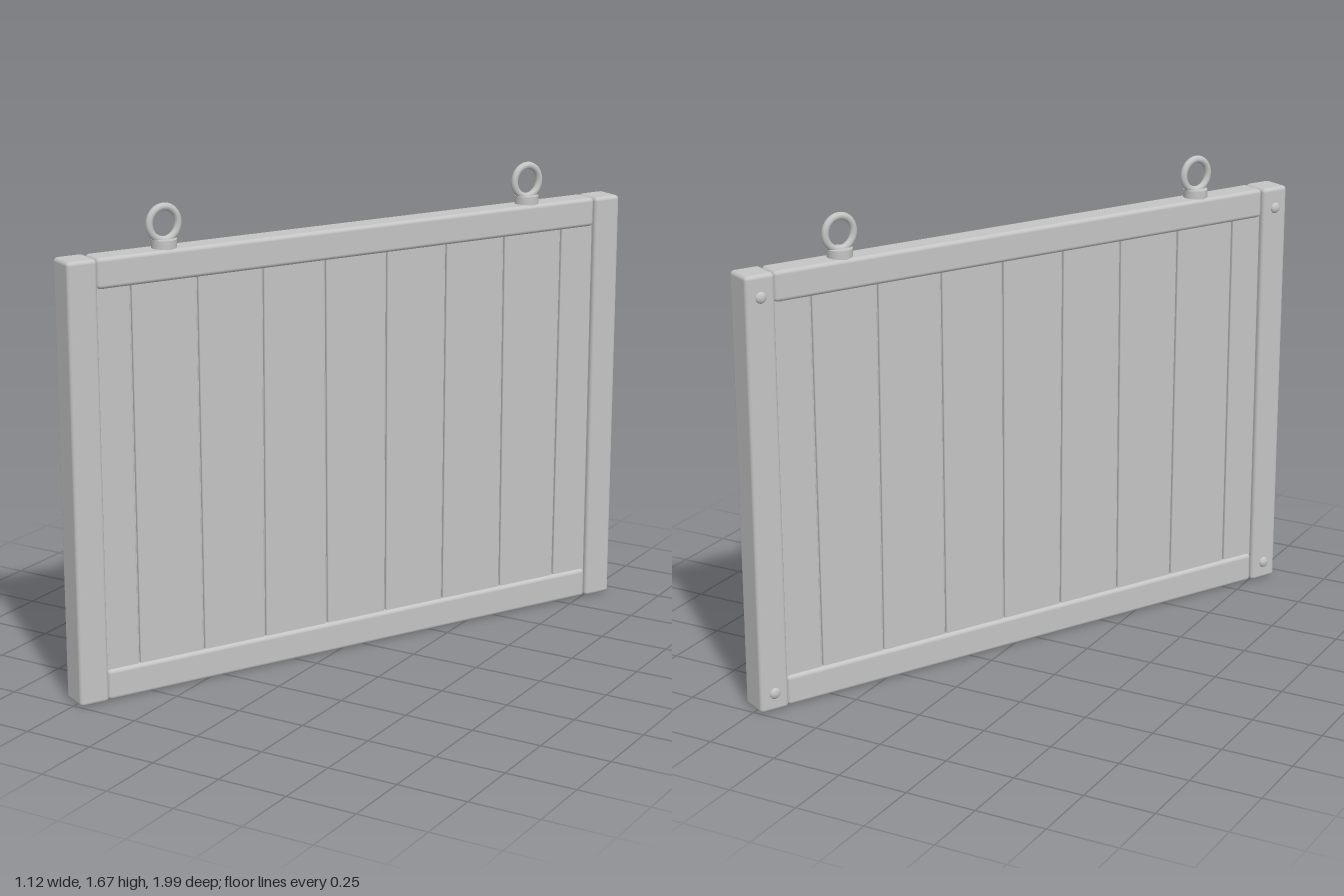
import * as THREE from 'three';
import { RoundedBoxGeometry } from 'three/addons/geometries/RoundedBoxGeometry.js';

const HEIGHT = 1.525, HALF = 1.103, POST = 0.107, RAIL = 0.104;

export function createModel() {
  const model = new THREE.Group();
  model.name = 'hangingSign';
  const grey = new THREE.MeshStandardMaterial({ color: 0xc4c4c4 });
  grey.name = 'plainGrey';

  // the whole board stands turned about the vertical axis
  const board = new THREE.Group();
  board.name = 'board';
  board.rotation.y = 1.084;
  model.add(board);

  const add = (name, geometry, x, y, z) => {
    const mesh = new THREE.Mesh(geometry, grey);
    mesh.name = name;
    mesh.position.set(x, y, z);
    board.add(mesh);
    return mesh;
  };
  const beam = (w, h, d, r) => new RoundedBoxGeometry(w, h, d, 3, r);

  // frame rails, slightly slimmer than the posts
  const inner = HALF - POST;
  add('topRail', beam(inner * 2 - 0.004, RAIL, 0.098, 0.014), 0, HEIGHT - RAIL / 2, 0);
  add('bottomRail', beam(inner * 2 - 0.004, RAIL + 0.004, 0.098, 0.014), 0, RAIL / 2 + 0.002, 0);

  // thin core behind the plank joints
  add('panelCore', new THREE.BoxGeometry(inner * 2, HEIGHT - RAIL, 0.05), 0, HEIGHT / 2, 0);

  // planks with slightly uneven edges
  const joints = [-1.0, -0.87, -0.623, -0.377, -0.13, 0.115, 0.36, 0.61, 0.855, 1.0];
  const wobble = (i) => 0.004 * Math.sin(i * 2.4 + 0.7);
  for (let i = 0; i < joints.length - 1; i++) {
    const a = joints[i], b = joints[i + 1], width = b - a - 0.007;
    const plank = beam(width, HEIGHT - RAIL, 0.074, 0.005);
    const p = plank.attributes.position;
    for (let k = 0; k < p.count; k++) {
      const side = p.getX(k) < 0 ? i : i + 1;
      const lean = p.getY(k) > 0 ? 1 : -1;
      p.setX(k, p.getX(k) + wobble(side) * lean * 0.6);
    }
    add('plank', plank, (a + b) / 2, HEIGHT / 2, 0);
  }

  for (const s of [-1, 1]) {
    // end post
    const x = s * (HALF - POST / 2);
    add('endPost', beam(POST, HEIGHT, 0.112, 0.014), x, HEIGHT / 2, 0);

    // bolt heads on the back
    for (const y of [0.065, HEIGHT - 0.075]) {
      const bolt = add('boltHead', new THREE.SphereGeometry(0.02, 16, 8, 0, Math.PI * 2, 0, Math.PI / 2), x, y, -0.055);
      bolt.rotation.x = -Math.PI / 2;
      bolt.scale.y = 0.6;
    }

    // hanging eye on a round base
    add('eyeBase', new THREE.CylinderGeometry(0.043, 0.043, 0.034, 28), s * 0.727, HEIGHT + 0.011, 0);
    add('eyeRing', new THREE.TorusGeometry(0.053, 0.0125, 12, 36), s * 0.727, 1.605, 0).scale.y = 1.05;
  }
  return model;
}
